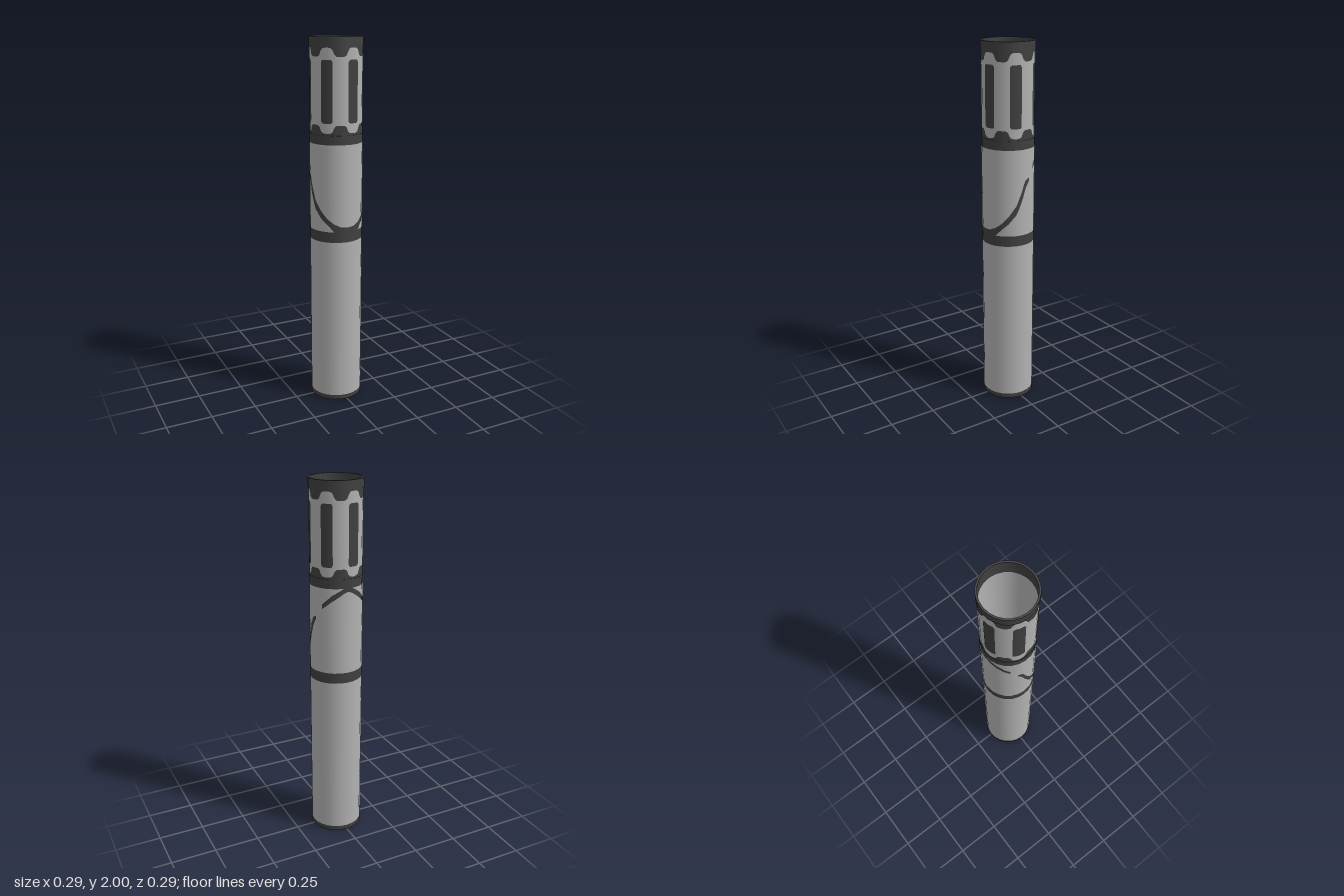
import * as THREE from 'three';
import { mergeGeometries } from 'three/addons/utils/BufferGeometryUtils.js';

const SIDES = 24, R = 0.142, RECESS = 0.139, BORE = 0.132, LIFT = 0.001;
const rad = THREE.MathUtils.degToRad;

// Piecewise linear curve through [x, y] points
const curve = (pts) => (x) => {
  let i = 1;
  while (i < pts.length - 1 && x > pts[i][0]) i++;
  const [a, b] = [pts[i - 1], pts[i]];
  return THREE.MathUtils.mapLinear(THREE.MathUtils.clamp(x, a[0], b[0]), a[0], b[0], a[1], b[1]);
};

// Turned part: each profile segment is its own lathe so edges stay crisp
function turned(name, material, profile) {
  const pieces = [];
  for (let i = 1; i < profile.length; i++) {
    const pts = [profile[i - 1], profile[i]].map(([r, y]) => new THREE.Vector2(r, y));
    pieces.push(new THREE.LatheGeometry(pts, SIDES));
  }
  const mesh = new THREE.Mesh(mergeGeometries(pieces), material);
  mesh.name = name;
  return mesh;
}

// Thin painted patch following the faceted wall, from angle a0 to a1 (degrees from the front)
function patch(name, material, radius, a0, a1, low, high) {
  const angles = [a0];
  for (let a = Math.floor(a0 / 3) * 3 + 3; a < a1; a += 3) angles.push(a);
  angles.push(a1);
  const pos = [], nor = [], idx = [];
  angles.forEach((a, i) => {
    const facet = 360 / SIDES;
    const local = THREE.MathUtils.euclideanModulo(a, facet) - facet / 2;
    const r = (radius * Math.cos(rad(facet / 2))) / Math.cos(rad(local)) + LIFT;
    const s = Math.sin(rad(a)), c = Math.cos(rad(a));
    pos.push(r * s, low(a), r * c, r * s, high(a), r * c);
    nor.push(s, 0, c, s, 0, c);
    if (i) {
      const k = 2 * i;
      idx.push(k - 2, k, k - 1, k, k + 1, k - 1);
    }
  });
  const g = new THREE.BufferGeometry();
  g.setAttribute('position', new THREE.Float32BufferAttribute(pos, 3));
  g.setAttribute('normal', new THREE.Float32BufferAttribute(nor, 3));
  g.setIndex(idx);
  const mesh = new THREE.Mesh(g, material);
  mesh.name = name;
  return mesh;
}

export function createModel() {
  const model = new THREE.Group();
  model.name = 'tube';
  const light = new THREE.MeshStandardMaterial({ color: 0xb2b2b2 });
  light.name = 'light grey';
  const dark = new THREE.MeshStandardMaterial({ color: 0x404040 });
  dark.name = 'dark grey';

  // Outer shell, bottom to top
  model.add(
    turned('bottomRim', dark, [[BORE, 0.08], [BORE, 0], [R, 0], [R, 0.026]]),
    turned('lowerBody', light, [[R, 0.026], [R, 0.932]]),
    turned('middleBand', dark, [[R, 0.932], [R, 0.99]]),
    turned('upperBody', light, [[R, 0.99], [R, 1.457]]),
    turned('collar', dark, [[R, 1.457], [R, 1.505], [RECESS, 1.505]]),
    turned('slottedSection', light, [[RECESS, 1.505], [RECESS, 1.95]]),
    turned('topRim', dark, [[RECESS, 1.95], [R, 1.95], [R, 2], [BORE, 2], [BORE, 1.91]]),
    turned('bore', light, [[BORE, 1.91], [BORE, 0.08]]),
  );

  // Six dark slots with softened corners, evenly spaced
  const first = 14, step = 60, half = 13;
  for (let k = 0; k < 6; k++) {
    const mid = first + k * step;
    const corner = (a) => 0.012 * Math.max(0, Math.abs(a - mid) - half + 3) / 3;
    model.add(patch('slot', dark, RECESS, mid - half, mid + half,
      (a) => 1.567 + corner(a), (a) => 1.887 - corner(a)));
  }

  // Scalloped edges above and below the slots
  const fromSlot = (a) => Math.abs(THREE.MathUtils.euclideanModulo(a - first + step / 2, step) - step / 2);
  const upper = curve([[0, 1.947], [9, 1.945], [13, 1.935], [17, 1.91], [22, 1.902], [30, 1.902]]);
  const lower = curve([[0, 1.515], [9, 1.518], [13, 1.525], [17, 1.55], [22, 1.558], [30, 1.558]]);
  model.add(
    patch('upperScallops', dark, RECESS, 0, 360, (a) => upper(fromSlot(a)), () => 1.95),
    patch('lowerScallops', dark, RECESS, 0, 360, () => 1.505, (a) => lower(fromSlot(a))),
  );

  // Rising stripe, mirrored on both sides and broken by a short gap
  const stripeLow = curve([[0, 0.985], [28, 0.988], [45, 1.03], [58, 1.058], [76, 1.11], [86, 1.165],
    [98, 1.25], [107, 1.285], [123, 1.345], [145, 1.388], [170, 1.43], [180, 1.44]]);
  const stripeHigh = curve([[0, 1.015], [15, 1.018], [30, 1.035], [45, 1.063], [58, 1.098], [76, 1.16],
    [86, 1.22], [95, 1.285], [107, 1.303], [123, 1.37], [145, 1.42], [170, 1.458], [180, 1.46]]);
  const low = (a) => stripeLow(Math.abs(a)), high = (a) => stripeHigh(Math.abs(a));
  for (const [a0, a1] of [[-180, -123], [-107, 107], [123, 180]])
    model.add(patch('stripe', dark, R, a0, a1, low, high));

  return model;
}
